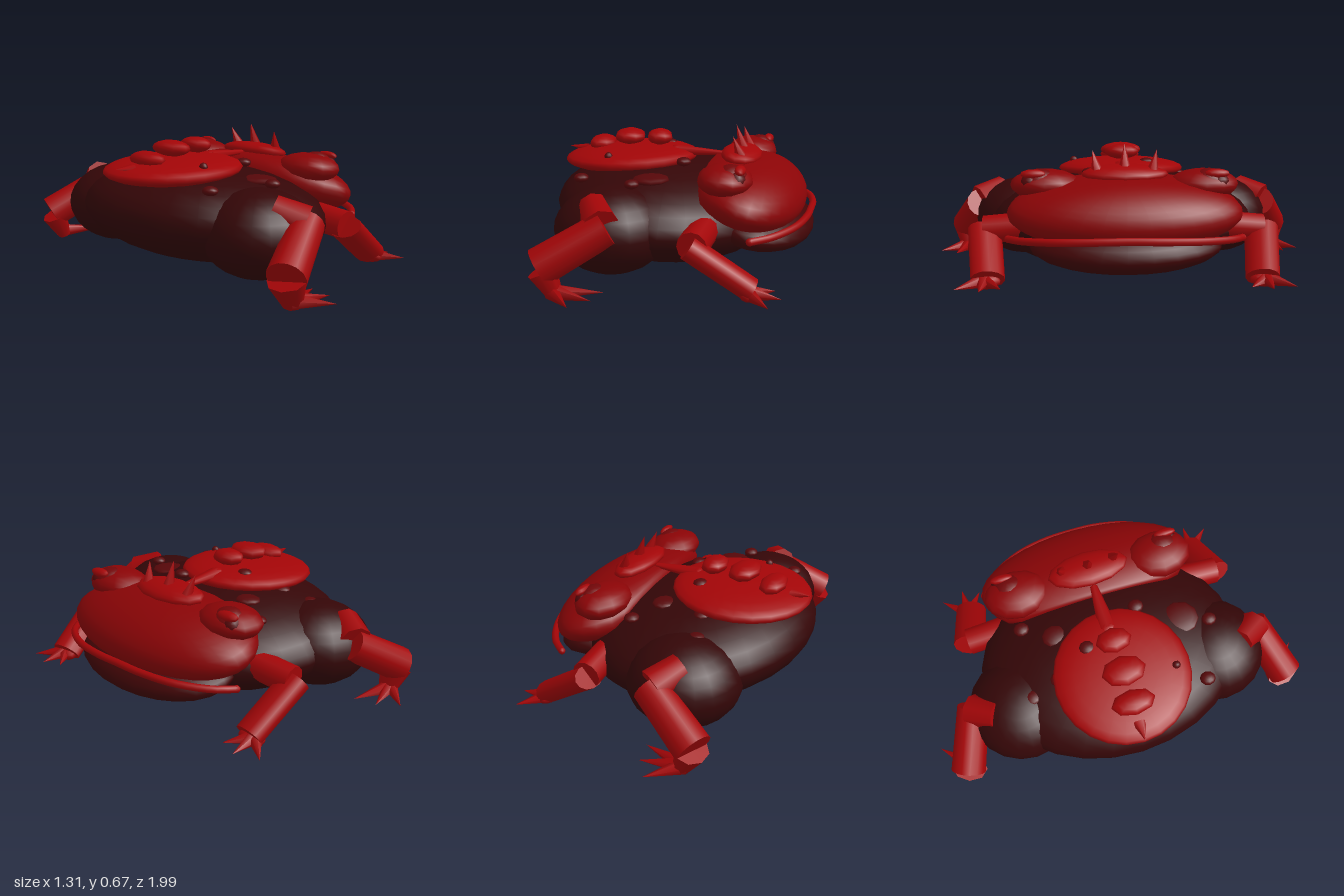
import * as THREE from 'three';

const mat = (name, color) => {
  const m = new THREE.MeshStandardMaterial({ color });
  m.name = name;
  return m;
};
const V = (a) => new THREE.Vector3(...a);

export function createModel() {
  const red = mat('red hide', 0xa20507);
  const headRed = mat('head hide', 0x8a0406);
  const dark = mat('dark hide', 0x340607);
  const jawColor = mat('jaw', 0x420506);
  const wartColor = mat('wart', 0x560709);
  const eyeColor = mat('eye', 0x720608);

  const root = new THREE.Group();
  root.name = 'toad';

  const add = (name, geo, material) => {
    const m = new THREE.Mesh(geo, material);
    m.name = name;
    root.add(m);
    return m;
  };
  // Ellipsoid given by centre and radii, tilted about z
  const blob = (name, c, r, material, tilt = 0, w = 18, h = 12) => {
    const g = new THREE.SphereGeometry(1, w, h);
    g.scale(...r).rotateZ(tilt).translate(...c);
    return add(name, g, material);
  };
  // Tapered limb or spike between two points
  const limb = (name, a, b, ra, rb, material, sides = 12) => {
    const p = V(a), q = V(b), d = q.clone().sub(p);
    const g = rb > 0 ? new THREE.CylinderGeometry(rb, ra, d.length(), sides)
      : new THREE.ConeGeometry(ra, d.length(), sides);
    const m = add(name, g, material);
    m.position.copy(p).lerp(q, 0.5);
    m.quaternion.setFromUnitVectors(new THREE.Vector3(0, 1, 0), d.normalize());
    return m;
  };

  // Body and back plate
  blob('body', [-0.1, 0.26, 0], [0.555, 0.243, 0.68], dark, -0.09, 28, 16);
  blob('backPlate', [-0.3, 0.493, 0], [0.345, 0.064, 0.34], red, 0.04, 24, 12);
  [[-0.46, 0.552, 0.065, 0.11], [-0.31, 0.592, 0.078, 0.11], [-0.15, 0.595, 0.065, 0.09]]
    .forEach(([x, y, rx, rz]) => blob('backKnob', [x, y, 0], [rx, 0.04, rz], red, -0.06, 8, 8));
  const neckSpine = limb('neckSpine', [-0.06, 0.528, 0], [0.18, 0.525, 0], 0.048, 0.018, red, 8);
  neckSpine.scale.x = 0.6;
  blob('neckSpineRoot', [-0.06, 0.528, 0], [0.04, 0.028, 0.047], red, 0, 8, 6);
  const tailSpike = limb('tailSpike', [-0.55, 0.518, 0], [-0.65, 0.525, 0], 0.035, 0, red, 6);
  tailSpike.scale.x = 0.6;

  // Warts: x, y, z, radius
  [[-0.26, 0.43, -0.45, 0.042], [-0.22, 0.47, -0.3, 0.042], [0.1, 0.43, -0.41, 0.037],
    [0, 0.465, -0.26, 0.06], [-0.13, 0.54, -0.13, 0.037], [0.02, 0.505, 0.17, 0.037],
    [-0.09, 0.455, 0.37, 0.09], [-0.14, 0.46, 0.51, 0.035], [-0.43, 0.45, 0.4, 0.036],
    [-0.34, 0.53, 0.26, 0.02]]
    .forEach(([x, y, z, r]) => blob('wart', [x, y, z], [r, 0.022, r * 1.1], wartColor, 0, 10, 8));

  // Head, drawn out and flattened at the back
  const headGeo = new THREE.SphereGeometry(1, 32, 20);
  headGeo.scale(0.26, 0.155, 0.56);
  const hp = headGeo.attributes.position;
  for (let i = 0; i < hp.count; i++) if (hp.getX(i) < 0) hp.setX(i, hp.getX(i) * 1.3);
  headGeo.rotateZ(-0.28).translate(0.355, 0.352, 0);
  for (let i = 0; i < hp.count; i++) hp.setX(i, Math.max(0.148, hp.getX(i)));
  add('head', headGeo, headRed);

  // Jaw and lip
  blob('lowerJaw', [0.385, 0.21, 0], [0.268, 0.117, 0.46], jawColor, -0.18, 24, 14);
  const lipPath = new THREE.CatmullRomCurve3([
    [0.42, 0.238, -0.55], [0.5, 0.244, -0.485], [0.59, 0.254, -0.33], [0.63, 0.262, -0.15],
    [0.635, 0.265, 0], [0.63, 0.262, 0.15], [0.59, 0.254, 0.33], [0.5, 0.244, 0.485],
    [0.42, 0.238, 0.55]].map(V));
  add('lip', new THREE.TubeGeometry(lipPath, 28, 0.018, 8), red);
  [0, 1].forEach((t) =>
    blob('lipCorner', lipPath.getPoint(t).toArray(), [0.018, 0.018, 0.018], red, 0, 8, 6));

  // Crown with three spikes
  blob('crown', [0.28, 0.525, 0], [0.1, 0.045, 0.21], red, -0.15, 12, 10);
  limb('crownSpike', [0.29, 0.54, 0], [0.25, 0.672, 0], 0.033, 0, red, 6);

  for (const s of [1, -1]) {
    limb('crownSpike', [0.3, 0.53, s * 0.13], [0.262, 0.64, s * 0.155], 0.032, 0, red, 6);

    // Eyes
    blob('eyeMound', [0.272, 0.475, s * 0.38], [0.13, 0.075, 0.17], headRed, -0.05, 12, 10);
    blob('eyeball', [0.31, 0.488, s * 0.405], [0.078, 0.065, 0.088], eyeColor, -0.4, 14, 10);
    blob('pupil', [0.34, 0.495, s * 0.45], [0.042, 0.036, 0.045], wartColor, -0.4, 10, 8);
    blob('eyelid', [0.352, 0.535, s * 0.435], [0.026, 0.02, 0.06], red, -0.5, 10, 8);

    // Hind legs
    blob('thigh', [-0.235, 0.245, s * 0.515], [0.272, 0.207, 0.272], dark, 0, 20, 14);
    limb('knee', [-0.28, 0.385, s * 0.64], [-0.2, 0.33, s * 0.76], 0.068, 0.082, red, 8);
    limb('shin', [-0.18, 0.318, s * 0.75], [-0.45, 0.155, s * 0.868], 0.08, 0.088, red, 14);
    const hindFoot = limb('hindFoot', [-0.44, 0.14, s * 0.86], [-0.385, 0.022, s * 0.85], 0.068, 0.035, red, 8);
    hindFoot.scale.z = 1.3;
    [[-0.27, 0.995], [-0.2, 0.9], [-0.18, 0.79]].forEach(([x, z]) =>
      limb('hindToe', [-0.4, 0.045, s * 0.86], [x, 0.035, s * z], 0.038, 0, red, 6));

    // Front legs
    limb('upperArm', [0.195, 0.26, s * 0.45], [0.19, 0.24, s * 0.69], 0.072, 0.07, red);
    const forearm = limb('forearm', [0.173, 0.238, s * 0.69], [0.445, 0.053, s * 0.645], 0.058, 0.056, red);
    forearm.scale.z = 1.45;
    blob('frontFoot', [0.435, 0.042, s * 0.655], [0.045, 0.035, 0.07], red, -0.4, 10, 8);
    [[0.545, 0.79], [0.585, 0.67], [0.545, 0.575]].forEach(([x, z]) =>
      limb('frontToe', [0.43, 0.045, s * 0.665], [x, 0.03, s * z], 0.037, 0, red, 6));
  }
  return root;
}
